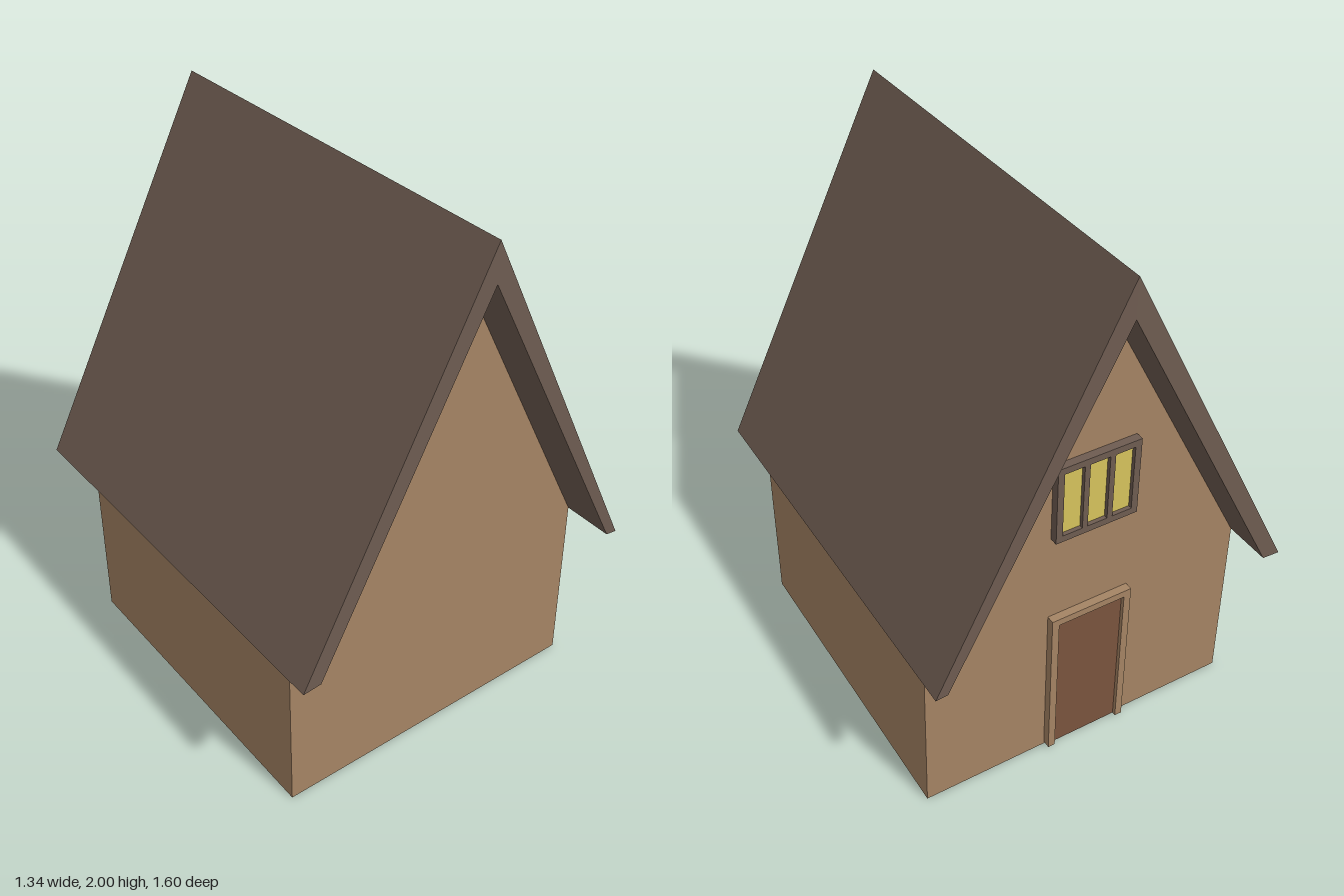
import * as THREE from 'three';

const material = (color) => new THREE.MeshStandardMaterial({ color, flatShading: true });
const wood = material(0xa58464);
const roofing = material(0x6e5c51);
const doorWood = material(0x7a543e);
const glass = material(0xd6c35c);

const outline = (points) => new THREE.Shape(points.map(([x, y]) => new THREE.Vector2(x, y)));

const rect = (x0, x1, y0, y1) => [[x0, y0], [x1, y0], [x1, y1], [x0, y1]];

// Extrudes a front-facing outline between two z planes
function slab(name, shape, z0, z1, mat) {
  const geometry = new THREE.ExtrudeGeometry(shape, { depth: z1 - z0, bevelEnabled: false });
  geometry.translate(0, 0, z0);
  const mesh = new THREE.Mesh(geometry, mat);
  mesh.name = name;
  return mesh;
}

function createRoof() {
  // Chevron section with level eave soffits
  const roof = slab('roof', outline([
    [-0.67, 0.675], [-0.602, 0.68], [0.018, 1.86], [0.622, 0.675], [0.665, 0.67], [0.018, 2],
  ]), -0.7875, 0.7875, roofing);
  // Slightly crooked: each slope is sheared along the ridge
  const p = roof.geometry.attributes.position;
  for (let i = 0; i < p.count; i++) {
    const d = p.getX(i) - 0.018;
    p.setZ(i, p.getZ(i) - 0.0125 + (d > 0 ? 0.035 * d : -0.007 * d));
  }
  roof.geometry.computeVertexNormals();
  return roof;
}

function createDoor() {
  const door = new THREE.Group();
  door.name = 'door';
  // Three-sided frame around a recessed panel
  const frame = outline([
    [-0.157, 0.01], [-0.13, 0.01], [-0.13, 0.608], [0.13, 0.608],
    [0.13, 0.01], [0.157, 0.01], [0.157, 0.635], [-0.157, 0.635],
  ]);
  door.add(
    slab('doorFrame', frame, -0.65, -0.6, wood),
    slab('doorPanel', outline(rect(-0.132, 0.132, 0.01, 0.61)), -0.635, -0.6, doorWood),
  );
  return door;
}

function createWindow() {
  const group = new THREE.Group();
  group.name = 'window';
  // Frame with three tall openings
  const frame = outline(rect(-0.155, 0.155, 0.98, 1.28));
  for (const x of [-0.094, 0, 0.094]) {
    frame.holes.push(outline(rect(x - 0.037, x + 0.037, 1.005, 1.255)));
  }
  group.add(
    slab('windowFrame', frame, -0.65, -0.6, roofing),
    slab('windowGlass', outline(rect(-0.14, 0.14, 0.995, 1.265)), -0.635, -0.6, glass),
  );
  return group;
}

export function createModel() {
  const house = new THREE.Group();
  house.name = 'house';
  const walls = outline([
    [-0.6, 0], [0.63, 0], [0.622, 0.675], [0.018, 1.86], [-0.602, 0.68],
  ]);
  house.add(slab('walls', walls, -0.62, 0.61, wood), createRoof(), createDoor(), createWindow());
  return house;
}
